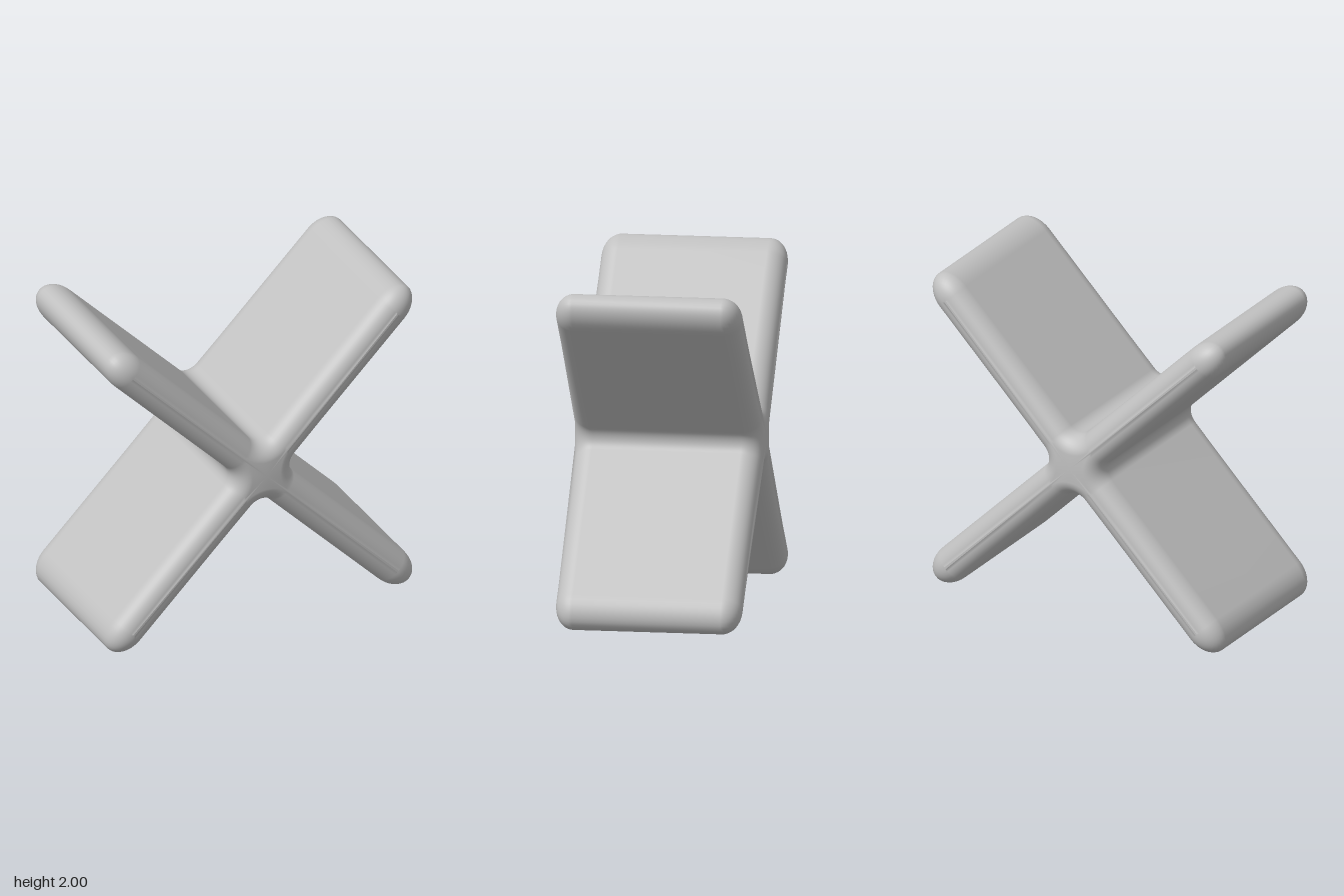
import * as THREE from 'three';

const HALF = 0.11;        // half thickness of an arm
const FILLET = 0.09;      // radius between neighbouring arms
const TIP_START = 1.22;   // where the rounded tip begins
const TIP = 0.16;         // length of the rounded tip
const DEPTH = 0.55;       // half depth
const ROUND = 0.11;       // depth of the rounded edge

// Counter-clockwise outline of the cross, thinned by factor k
function crossOutline(k) {
  const h = HALF * k;
  const c = HALF + FILLET;
  const r = c - h;
  const arm = [];
  for (let i = 0; i <= 6; i++) {
    const a = Math.PI * (0.75 - 0.25 * i / 6);
    arm.push([c + r * Math.cos(a), -c + r * Math.sin(a)]);
  }
  for (let i = 1; i < 4; i++) arm.push([c + (TIP_START - c) * i / 4, -h]);
  for (let i = 0; i <= 16; i++) {
    const a = Math.PI * (i / 16 - 0.5);
    arm.push([TIP_START + TIP * k * Math.cos(a), h * Math.sin(a)]);
  }
  for (let i = 3; i > 0; i--) arm.push([c + (TIP_START - c) * i / 4, h]);
  for (let i = 0; i < 6; i++) {
    const a = -Math.PI * (0.5 + 0.25 * i / 6);
    arm.push([c + r * Math.cos(a), c + r * Math.sin(a)]);
  }
  const outline = [];
  for (let q = 0; q < 4; q++) {
    const turn = Math.PI * (0.25 + q / 2);
    const cs = Math.cos(turn), sn = Math.sin(turn);
    for (const [u, v] of arm) outline.push([u * cs - v * sn, u * sn + v * cs]);
  }
  return outline;
}

// Stack of outlines from back to front, with rounded edges and a slight hub bulge
function crossGeometry() {
  const steps = 10;
  const angles = [];
  for (let i = 0; i <= steps; i++) angles.push([-1, Math.PI / 2 * (1 - i / steps)]);
  for (let i = 0; i <= steps; i++) angles.push([1, Math.PI / 2 * i / steps]);

  const positions = [];
  const indices = [];
  let n = 0;
  for (const [side, phi] of angles) {
    const outline = crossOutline(0.06 + 0.94 * Math.cos(phi));
    n = outline.length;
    for (const [x, y] of outline) {
      const bulge = 0.015 * Math.exp(-(x * x + y * y) / 0.03);
      positions.push(x, y, side * (DEPTH - ROUND + (ROUND + bulge) * Math.sin(phi)));
    }
  }
  for (let r = 0; r < angles.length - 1; r++) {
    for (let i = 0; i < n; i++) {
      const a = r * n + i, b = r * n + (i + 1) % n;
      indices.push(a, b, b + n, a, b + n, a + n);
    }
  }
  // End faces
  const back = positions.length / 3, front = back + 1;
  positions.push(0, 0, -DEPTH - 0.015, 0, 0, DEPTH + 0.015);
  const last = (angles.length - 1) * n;
  for (let i = 0; i < n; i++) {
    const j = (i + 1) % n;
    indices.push(back, j, i, front, last + i, last + j);
  }
  const geometry = new THREE.BufferGeometry();
  geometry.setAttribute('position', new THREE.Float32BufferAttribute(positions, 3));
  geometry.setIndex(indices);
  geometry.computeVertexNormals();
  return geometry;
}

export function createModel() {
  const grey = new THREE.MeshStandardMaterial({ color: 0xc0c0c0 });
  grey.name = 'light grey';
  const group = new THREE.Group();
  group.name = 'crossedPanels';

  const cross = new THREE.Mesh(crossGeometry(), grey);
  cross.name = 'crossBody';
  cross.position.y = 1;
  group.add(cross);
  return group;
}
